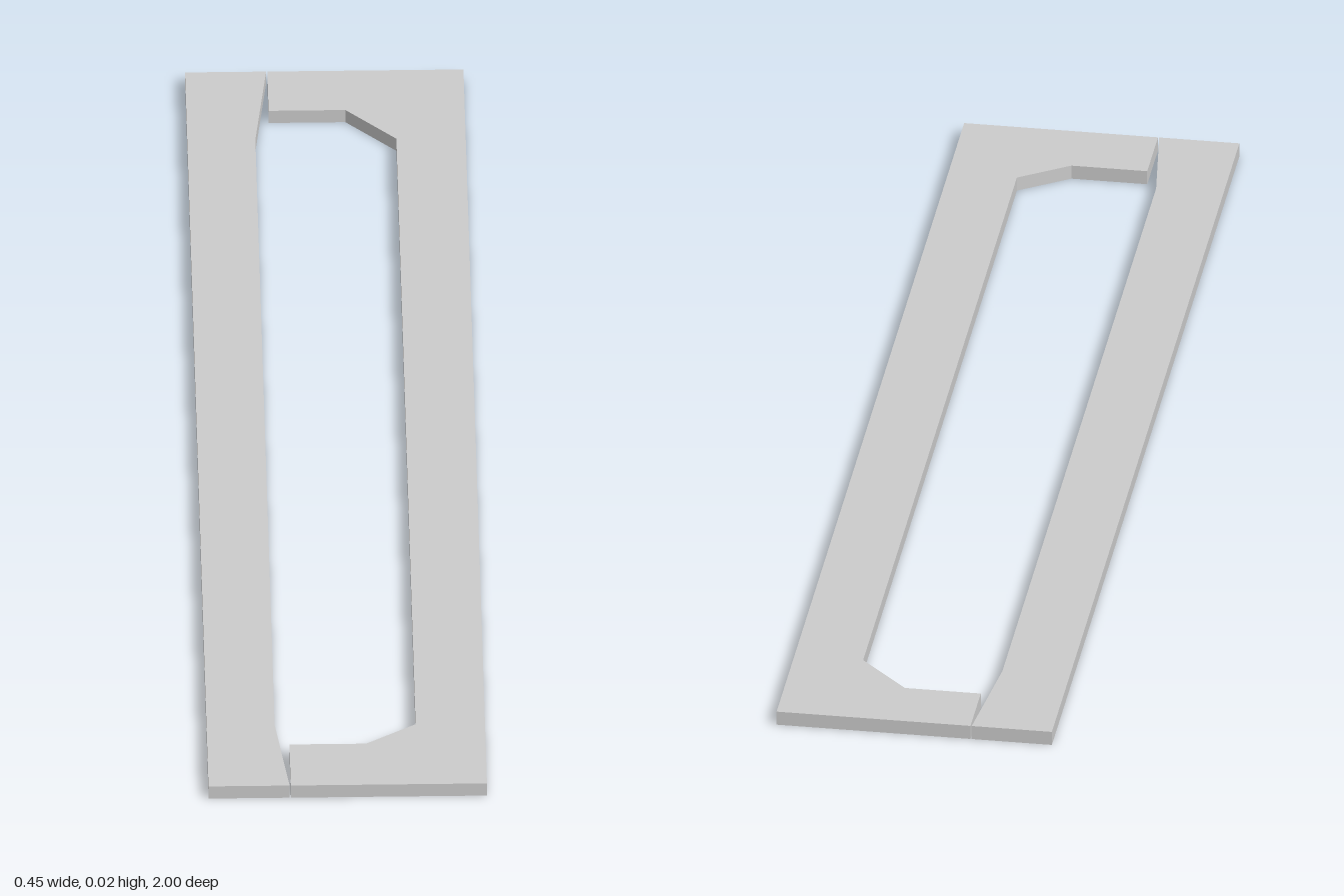
import * as THREE from 'three';

const TOP = 0.026;
const THICKNESS = 0.024;

// Flat plate cut from an outline of [x, z] points
function plate(name, outline, material) {
  const shape = new THREE.Shape(outline.map(([x, z]) => new THREE.Vector2(x, z)));
  const geometry = new THREE.ExtrudeGeometry(shape, { depth: THICKNESS, bevelEnabled: false });
  geometry.rotateX(Math.PI / 2);
  geometry.translate(0, TOP, 0);
  const mesh = new THREE.Mesh(geometry, material);
  mesh.name = name;
  return mesh;
}

export function createModel() {
  const group = new THREE.Group();
  group.name = 'flatFrame';
  const material = new THREE.MeshStandardMaterial({ color: 0xcccccc, flatShading: true });

  // Straight rail, flaring at both ends to meet the bracket
  group.add(plate('straightRail', [
    [-0.225, -1], [-0.094, -1], [-0.115, -0.81],
    [-0.115, 0.83], [-0.094, 1], [-0.225, 1],
  ], material));

  // C-shaped bracket with chamfered inner corners; narrow slits part it from the rail
  group.add(plate('bracket', [
    [-0.092, -1], [0.225, -1], [0.225, 1], [-0.092, 1],
    [-0.092, 0.885], [0.032, 0.885], [0.113, 0.832],
    [0.113, -0.808], [0.032, -0.89], [-0.092, -0.89],
  ], material));

  return group;
}
